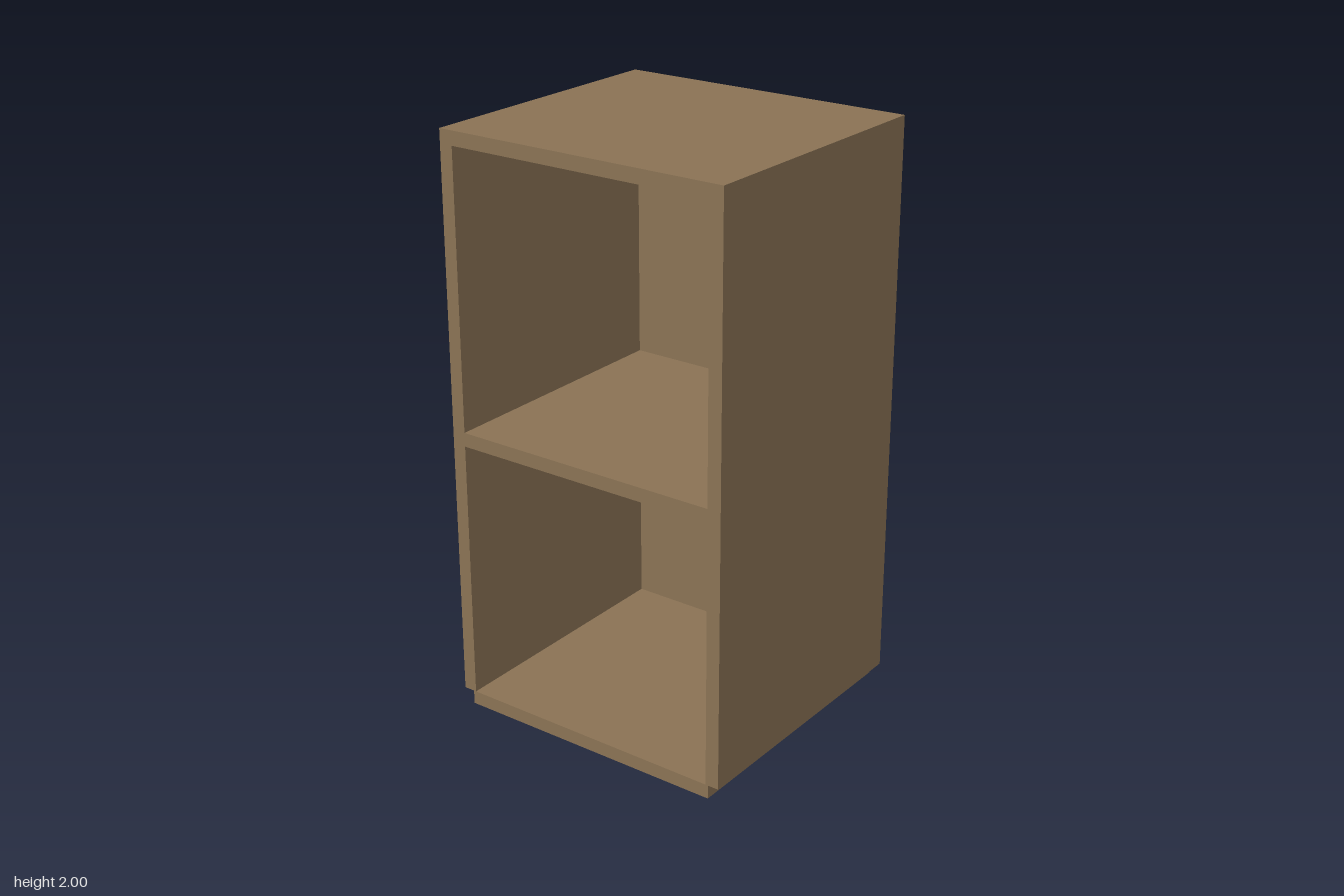
import * as THREE from 'three';

export function createModel() {
  const group = new THREE.Group();
  const wood = new THREE.MeshStandardMaterial({ color: 0x8b7355 });
  wood.name = 'brown wood';

  const W = 1.056, D = 0.978, T = 0.048; // outer width, depth, board thickness
  const inner = W - 2 * T;

  // Board given by its size and the position of its bottom centre
  function board(name, w, h, d, x, y, z) {
    const mesh = new THREE.Mesh(new THREE.BoxGeometry(w, h, d), wood);
    mesh.name = name;
    mesh.position.set(x, y + h / 2, z);
    group.add(mesh);
  }

  // Side panels stand clear of the ground
  for (const [name, s] of [['leftSide', 1], ['rightSide', -1]]) {
    board(name, T, 2 - T, D, s * (W - T) / 2, T, 0);
  }

  // Base runs a little way under the sides
  board('base', 0.978, T, D, 0, 0, 0);

  // Shelf and top fit between the sides
  board('shelf', inner, T, D, 0, 0.957, 0);
  board('top', inner, T, D, 0, 2 - T, 0);

  // Back panels close the two bays
  board('lowerBack', inner, 0.957 - T, T, 0, T, (T - D) / 2);
  board('upperBack', inner, 2 - T - 1.005, T, 0, 1.005, (T - D) / 2);

  return group;
}
